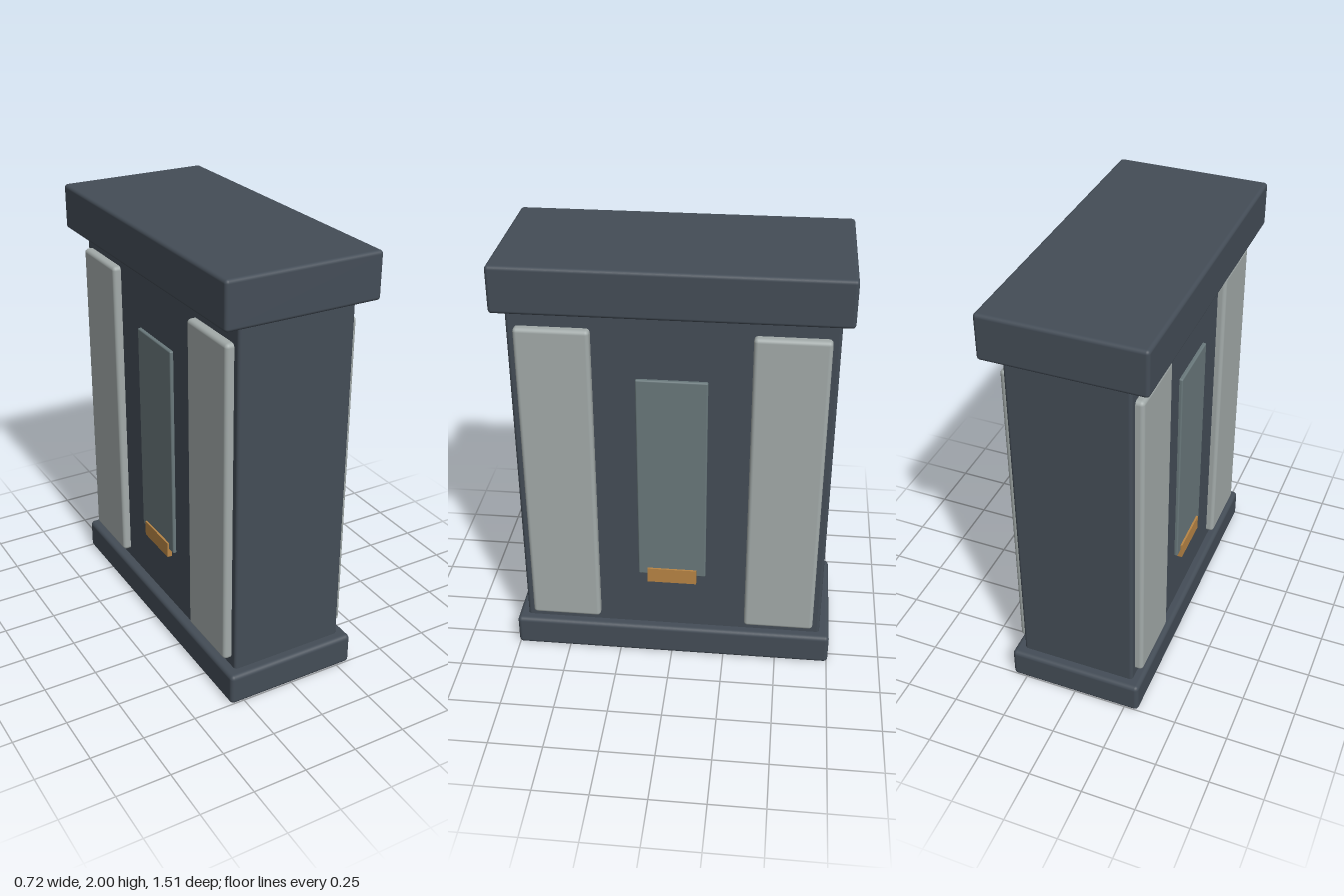
import * as THREE from 'three';
import { RoundedBoxGeometry } from 'three/addons/geometries/RoundedBoxGeometry.js';

const material = (name, color) => Object.assign(new THREE.MeshStandardMaterial({ color }), { name });

export function createModel() {
  const group = new THREE.Group();
  const slate = material('dark slate', 0x444d57);
  const stone = material('pale stone', 0xa3abaa);
  const inset = material('grey green', 0x69787b);
  const amber = material('amber', 0xb88545);

  // Adds a box spanning y0..y1, bevelled when radius is above zero
  function block(name, mat, w, y0, y1, d, x, z, radius) {
    const h = y1 - y0;
    const geometry = radius > 0
      ? new RoundedBoxGeometry(w, h, d, 3, radius)
      : new THREE.BoxGeometry(w, h, d);
    const mesh = new THREE.Mesh(geometry, mat);
    mesh.name = name;
    mesh.position.set(x, (y0 + y1) / 2, z);
    group.add(mesh);
  }

  // Pillar core with overhanging plinth and cap
  block('plinth', slate, 0.635, 0, 0.15, 1.51, 0, 0, 0.02);
  block('body', slate, 0.545, 0.12, 1.82, 1.415, 0, 0, 0.015);
  block('cap', slate, 0.72, 1.79, 2, 1.51, 0, 0, 0.016);

  // Both broad faces carry the same panels
  for (const side of [1, -1]) {
    const name = side > 0 ? 'left' : 'right';
    for (const end of [1, -1]) {
      block(`${name}Panel${end > 0 ? 'Front' : 'Back'}`, stone,
        0.07, 0.188, 1.703, 0.327, side * 0.274, end * 0.509, 0.018);
    }
    block(`${name}CentrePanel`, inset, 0.04, 0.448, 1.476, 0.315, side * 0.268, 0, 0.007);
    block(`${name}AmberLedge`, amber, 0.04, 0.41, 0.485, 0.23, side * 0.277, 0, 0);
  }
  return group;
}
